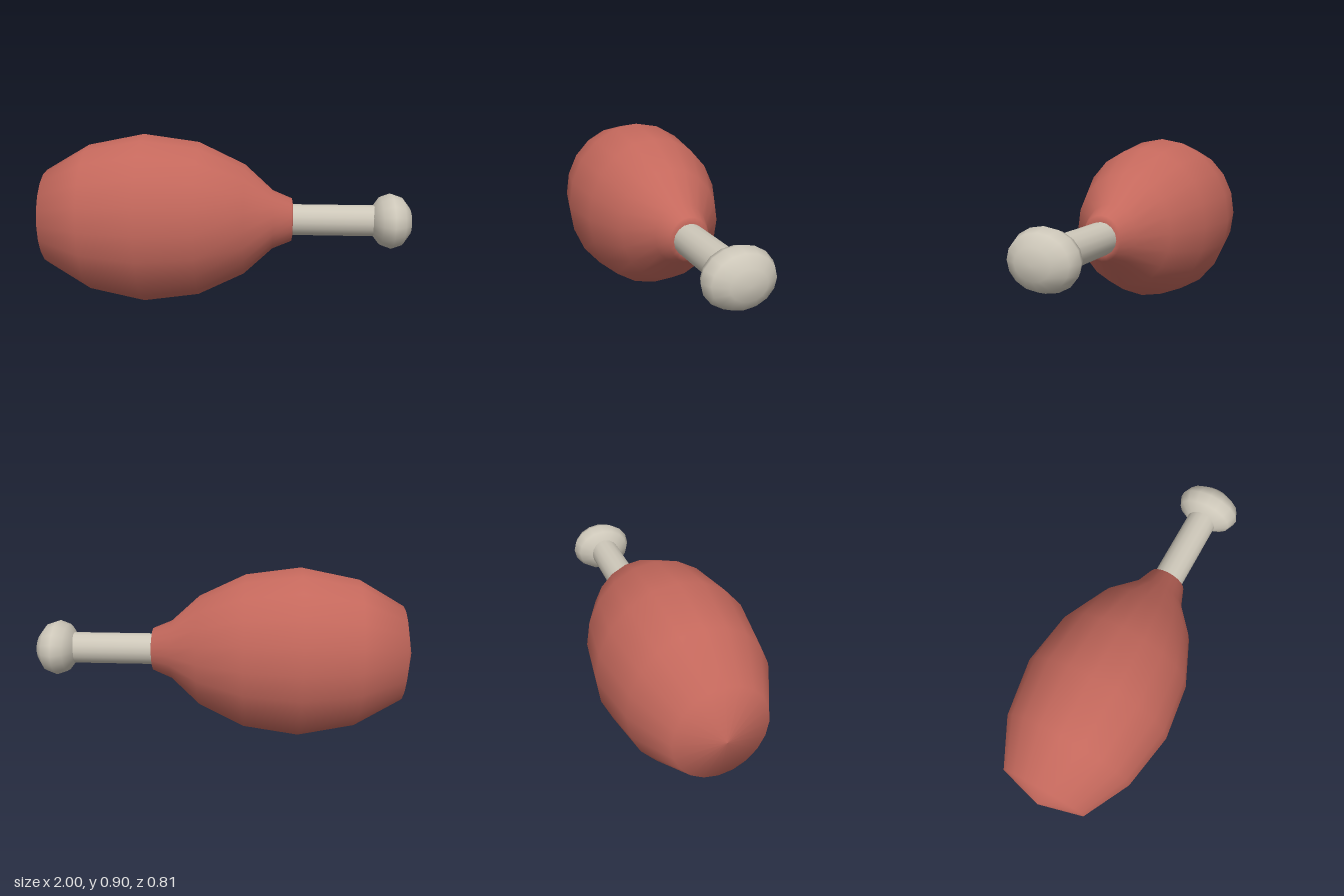
import * as THREE from 'three';

const CENTRE_Y = 0.453;

export function createModel() {
  const model = new THREE.Group();
  model.name = 'drumstick';
  const meatRed = new THREE.MeshStandardMaterial({ color: 0xc4685c });
  meatRed.name = 'roast red';
  const boneCream = new THREE.MeshStandardMaterial({ color: 0xcdc7b9 });
  boneCream.name = 'bone cream';

  // Turn an upright part so its axis runs along x, then place it
  function addPart(name, geometry, material, x = 0, scale = [1, 1, 1]) {
    geometry.rotateZ(-Math.PI / 2);
    geometry.scale(...scale);
    const mesh = new THREE.Mesh(geometry, material);
    mesh.name = name;
    mesh.position.set(x, CENTRE_Y, 0);
    model.add(mesh);
  }

  // Meat: turned profile [radius, distance along x], slightly flattened in z
  const profile = [
    [0, -1], [0.254, -0.94], [0.391, -0.705], [0.45, -0.41], [0.41, -0.12],
    [0.295, 0.12], [0.157, 0.27], [0.115, 0.37], [0.082, 0.376], [0, 0.376],
  ].map(([r, x]) => new THREE.Vector2(r, x));
  addPart('meat', new THREE.LatheGeometry(profile, 20), meatRed, 0, [1, 1, 0.9]);

  // Bone shaft
  addPart('boneShaft', new THREE.CylinderGeometry(0.083, 0.083, 0.5, 16), boneCream, 0.59);

  // Bone knob: squashed ball at the end
  addPart('boneKnob', new THREE.SphereGeometry(1, 16, 6), boneCream, 0.889, [0.111, 0.145, 0.175]);

  return model;
}
